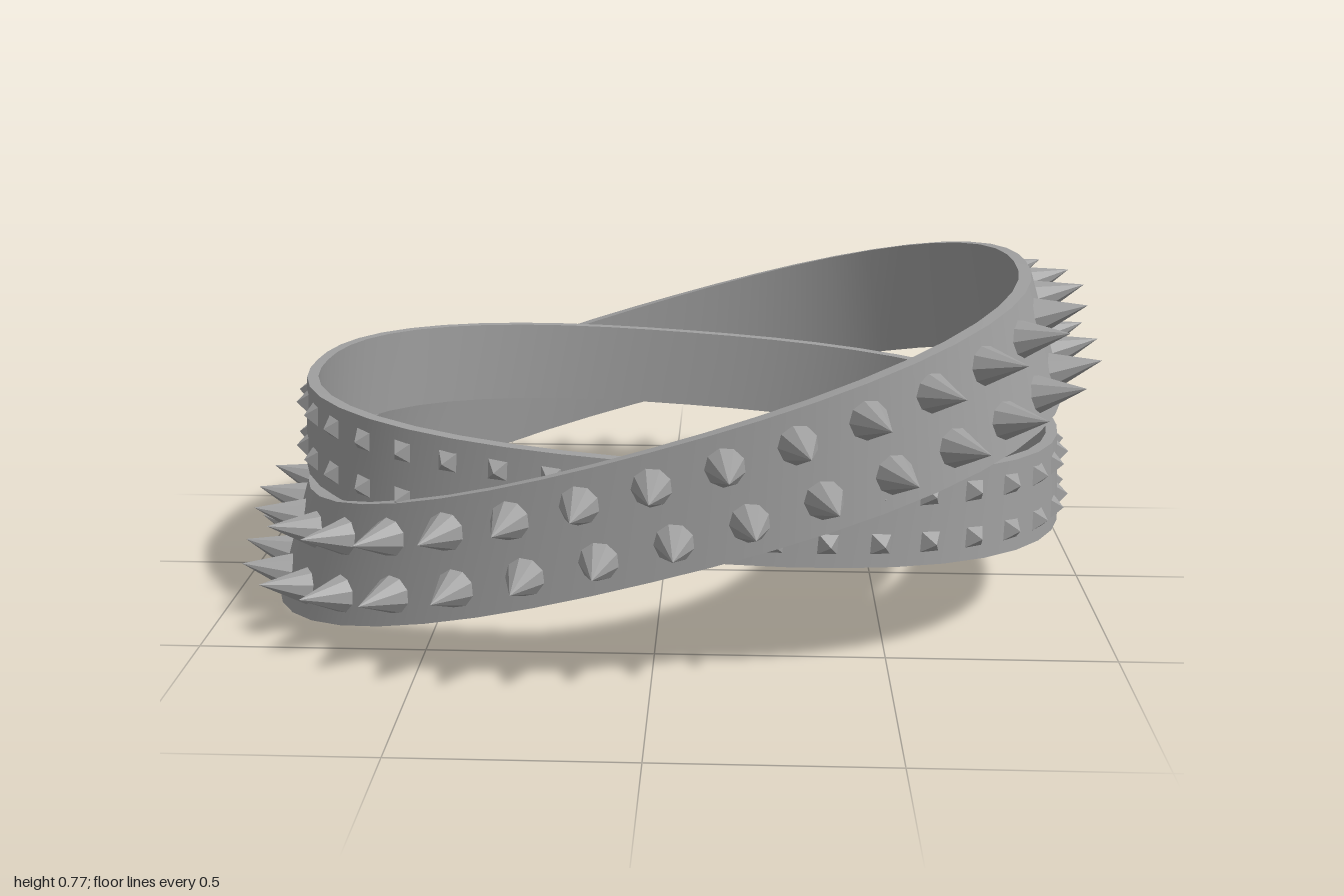
import * as THREE from 'three';

const steel = new THREE.MeshStandardMaterial({ color: 0x9f9f9f });
steel.name = 'grey';

// Point on a belt: t is the angle, v runs from bottom (0) to top (1), inset goes inwards
function beltPoint(belt, t, v, inset = 0) {
  const c = Math.cos(t), s = Math.sin(t), p = belt.power;
  const r = Math.pow(Math.abs(c) ** p + Math.abs(s) ** p, -1 / p);
  const edge = ({ a, b, y, sx, sz }) => {
    const x = belt.cx + a * r * c, z = belt.cz + b * r * s;
    return new THREE.Vector3(
      belt.cx + (a - inset) * r * c, y + sx * x + sz * z, belt.cz + (b - inset) * r * s);
  };
  return edge(belt.bottom).lerp(edge(belt.top), v);
}

// Closed band lofted from a rectangular cross-section, one smooth strip per side
function bandMesh(belt, name) {
  const N = 48, pos = [], idx = [], T = belt.thickness;
  const corners = [[0, 0], [1, 0], [1, T], [0, T]];
  const strips = corners.map((k, i) => [k, corners[(i + 1) % 4]]);
  for (const [p, q] of strips) {
    const base = pos.length / 3;
    for (let i = 0; i < N; i++) {
      const t = (i / N) * Math.PI * 2;
      pos.push(...beltPoint(belt, t, ...p).toArray(), ...beltPoint(belt, t, ...q).toArray());
      const a = base + i * 2, b = base + ((i + 1) % N) * 2;
      idx.push(a, a + 1, b, b, a + 1, b + 1);
    }
  }
  const g = new THREE.BufferGeometry();
  g.setAttribute('position', new THREE.Float32BufferAttribute(pos, 3));
  g.setIndex(idx);
  g.computeVertexNormals();
  const mesh = new THREE.Mesh(g, steel);
  mesh.name = name;
  return mesh;
}

// Faceted cone whose base sits at y = 0
function facetedCone(radius, height, sides, turn) {
  const g = new THREE.ConeGeometry(radius, height, sides).rotateY(turn)
    .translate(0, height / 2, 0).toNonIndexed();
  g.computeVertexNormals();
  return g;
}

// Evenly spaced studs standing on the belt's outer face
function studRow(belt, geometry, { count, v, phase, skew, name }) {
  const row = new THREE.Group();
  row.name = name + 'Row';
  const ring = [];
  for (let i = 0; i < 96; i++) ring.push(beltPoint(belt, (i / 96) * Math.PI * 2, 0.5));
  const curve = new THREE.CatmullRomCurve3(ring, true);
  const e = 0.01;
  for (let i = 0; i < count; i++) {
    let t = curve.getUtoTmapping((i + phase) / count) * Math.PI * 2;
    t -= skew * Math.sin(t);
    const along = beltPoint(belt, t + e, v).sub(beltPoint(belt, t - e, v)).normalize();
    const up = beltPoint(belt, t, v + e).sub(beltPoint(belt, t, v - e));
    const out = up.cross(along).normalize();
    const side = new THREE.Vector3().crossVectors(along, out);
    const stud = new THREE.Mesh(geometry, steel);
    stud.name = name;
    stud.quaternion.setFromRotationMatrix(new THREE.Matrix4().makeBasis(along, out, side));
    stud.position.copy(beltPoint(belt, t, v)).addScaledVector(out, -0.004);
    row.add(stud);
  }
  return row;
}

export function createModel() {
  const model = new THREE.Group();
  model.name = 'crossedBelts';

  // Large steep belt, flared towards the bottom at its ends
  const large = {
    cx: 0, cz: -0.005, power: 2.3, thickness: 0.028,
    bottom: { a: 0.92, b: 0.715, y: 0.25, sx: 0.272, sz: 0 },
    top: { a: 0.835, b: 0.712, y: 0.525, sx: 0.295, sz: 0 },
  };
  // Smaller belt with a gentle opposite tilt
  const small = {
    cx: 0.045, cz: 0.01, power: 2.35, thickness: 0.025,
    bottom: { a: 0.88, b: 0.66, y: 0.263, sx: -0.065, sz: 0.035 },
    top: { a: 0.868, b: 0.657, y: 0.468, sx: -0.067, sz: 0.035 },
  };

  // Spiked belt
  const spiked = new THREE.Group();
  spiked.name = 'spikedBelt';
  spiked.add(bandMesh(large, 'spikedBand'));
  const spike = facetedCone(0.043, 0.112, 9, 0);
  for (const [v, skew] of [[0.26, 0.025], [0.73, -0.025]]) {
    spiked.add(studRow(large, spike, { count: 34, v, phase: 0.32, skew, name: 'spike' }));
  }

  // Studded belt
  const studded = new THREE.Group();
  studded.name = 'studdedBelt';
  studded.add(bandMesh(small, 'studdedBand'));
  const pyramid = facetedCone(0.033, 0.028, 4, Math.PI / 4);
  for (const v of [0.25, 0.75]) {
    studded.add(studRow(small, pyramid, { count: 44, v, phase: 0.2, skew: 0, name: 'pyramidStud' }));
  }

  model.add(spiked, studded);
  return model;
}
